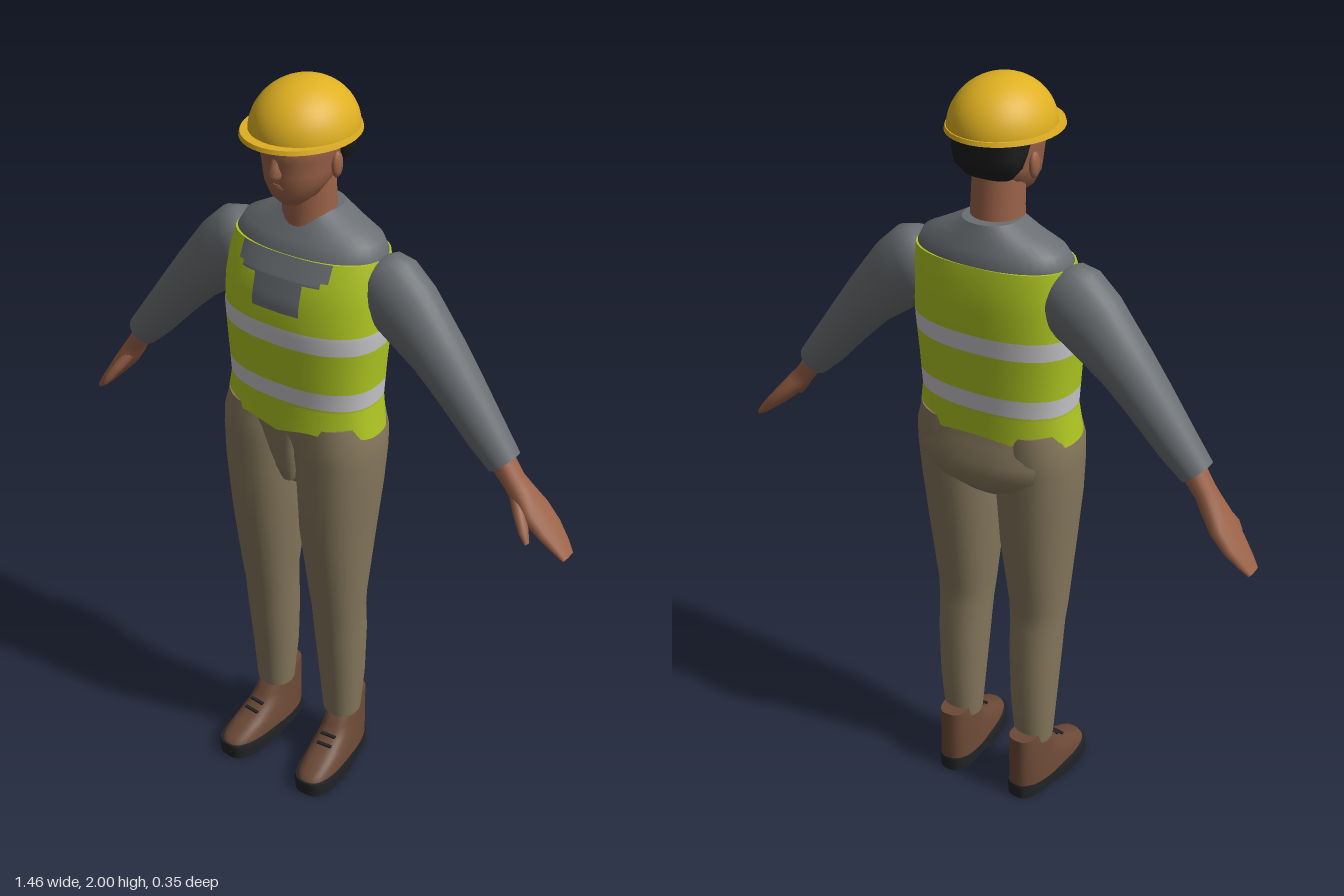
import * as THREE from 'three';

const material = (name, color) => Object.assign(new THREE.MeshStandardMaterial({ color }), { name });
const M = {
  helmet: material('helmet yellow', 0xdfb021),
  vest: material('vest lime', 0xaec522),
  stripe: material('reflective silver', 0xc6c6ca),
  shirt: material('shirt grey', 0x6a6e72),
  skin: material('skin', 0x9a6248),
  hair: material('hair black', 0x1d1d1e),
  trousers: material('trouser khaki', 0x85775c),
  shoe: material('shoe brown', 0x6b4936),
  sole: material('sole black', 0x222326),
};

// Closed skin over sections [x, y, z, radius across, radius in z]; n > 2 makes them squarer.
function loft(sections, n = 2, sides = 28, edit = null) {
  const pos = [], index = [], last = sections.length - 1;
  const power = (v) => Math.sign(v) * Math.abs(v) ** (2 / n);
  sections.forEach(([x, y, z, ra, rb], i) => {
    const a = sections[Math.max(i - 1, 0)], b = sections[Math.min(i + 1, last)];
    const length = Math.hypot(b[0] - a[0], b[1] - a[1]);
    const px = (b[1] - a[1]) / length, py = -(b[0] - a[0]) / length;
    for (let j = 0; j < sides; j++) {
      const t = j / sides * Math.PI * 2;
      const u = power(Math.cos(t)) * ra, w = power(Math.sin(t)) * rb;
      const p = [x + px * u, y + py * u, z + w];
      if (edit) edit(p, i, t);
      pos.push(...p);
    }
  });
  for (let i = 0; i < last; i++) for (let j = 0; j < sides; j++) {
    const a = i * sides + j, b = i * sides + (j + 1) % sides;
    index.push(a, a + sides, b, b, a + sides, b + sides);
  }
  // End caps have their own corners, so their edges stay sharp.
  for (const i of [0, last]) {
    const base = pos.length / 3;
    pos.push(...pos.slice(i * sides * 3, (i + 1) * sides * 3), ...sections[i].slice(0, 3));
    for (let j = 0; j < sides; j++) {
      const a = base + j, b = base + (j + 1) % sides;
      index.push(base + sides, ...(i ? [b, a] : [a, b]));
    }
  }
  const g = new THREE.BufferGeometry();
  g.setAttribute('position', new THREE.Float32BufferAttribute(pos, 3));
  g.setIndex(index);
  g.computeVertexNormals();
  return g;
}

// Upright section from height, half width, front z and back z.
const slice = ([y, rx, front, back], x = 0) => [x, y, (front + back) / 2, rx, (front - back) / 2];

// Torso outline, shared by the vest, its stripes and the neck opening.
const TORSO = [
  [1.12, 0.217, 0.105, -0.15], [1.2, 0.205, 0.1, -0.152], [1.3, 0.21, 0.108, -0.16], [1.4, 0.217, 0.113, -0.168],
  [1.48, 0.215, 0.108, -0.173], [1.54, 0.21, 0.092, -0.172], [1.59, 0.202, 0.066, -0.163],
];
function torsoAt(y) {
  let i = 0;
  while (i < TORSO.length - 2 && TORSO[i + 1][0] < y) i++;
  const a = TORSO[i], b = TORSO[i + 1], k = (y - a[0]) / (b[0] - a[0]);
  return a.map((v, c) => v + (b[c] - v) * k);
}
const TORSO_N = 2.4;
function torsoBand(y0, y1, edit) {
  const ys = [y0, ...TORSO.map((s) => s[0]).filter((y) => y > y0 + 0.005 && y < y1 - 0.005), y1];
  return loft(ys.map((y) => slice(torsoAt(y))), TORSO_N, 48, edit);
}

// Thin patch lying on the chest.
function chestPatch(halfWidth, y0, y1) {
  const g = new THREE.PlaneGeometry(halfWidth * 2, y1 - y0, 16, 6).translate(0, (y0 + y1) / 2, 0);
  const p = g.attributes.position;
  for (let i = 0; i < p.count; i++) {
    const [, , z, rx, rz] = slice(torsoAt(p.getY(i)));
    p.setZ(i, z + rz * (1 - Math.abs(p.getX(i) / rx) ** TORSO_N) ** (1 / TORSO_N) + 0.003);
  }
  g.computeVertexNormals();
  return g;
}

export function createModel() {
  const model = new THREE.Group();
  model.name = 'worker';
  const body = new THREE.Group();
  body.name = 'body';
  body.position.x = -0.013;
  model.add(body);
  const add = (name, geometry, mat, parent = body) => {
    const mesh = new THREE.Mesh(geometry, mat);
    mesh.name = name;
    parent.add(mesh);
    return mesh;
  };

  // Hard hat
  const dome = add('helmetDome', new THREE.SphereGeometry(1, 40, 16, 0, Math.PI * 2, 0, Math.PI / 2), M.helmet);
  dome.scale.set(0.125, 0.12, 0.14);
  dome.position.set(0.005, 1.88, -0.008);
  const brim = add('helmetBrim', new THREE.CylinderGeometry(0.98, 1, 0.01, 40), M.helmet);
  brim.scale.set(0.135, 1, 0.157);
  brim.position.set(0.003, 1.882, 0.002);

  // Head, with ears, nose and hair
  add('head', loft([
    [1.712, 0.026, 0.062, 0], [1.735, 0.054, 0.084, -0.04], [1.77, 0.075, 0.097, -0.085], [1.795, 0.08, 0.1, -0.1],
    [1.83, 0.085, 0.104, -0.11], [1.85, 0.088, 0.112, -0.115], [1.885, 0.088, 0.108, -0.118],
  ].map((s) => slice(s)), 2.1), M.skin);
  add('nose', loft([
    [1.792, 0.012, 0.112, 0.08], [1.803, 0.017, 0.12, 0.08], [1.825, 0.011, 0.114, 0.08], [1.85, 0.008, 0.108, 0.08],
  ].map((s) => slice(s)), 2, 10), M.skin);
  add('mouth', loft([[1.758, 0.015, 0.094, 0.06], [1.767, 0.026, 0.101, 0.06], [1.777, 0.016, 0.101, 0.06]]
    .map((s) => slice(s)), 2, 12), M.skin);
  add('hair', loft([
    [1.782, 0.06, -0.045, -0.105], [1.81, 0.085, -0.038, -0.122], [1.84, 0.092, -0.02, -0.127], [1.885, 0.093, 0.015, -0.127],
  ].map((s) => slice(s)), 2.6), M.hair);
  add('neck', loft([[1.64, 0.067, 0.03, -0.105], [1.7, 0.064, 0.03, -0.103], [1.79, 0.062, 0.035, -0.095]]
    .map((s) => slice(s))), M.skin);

  // Shirt yoke and collar above the vest
  add('shirtYoke', loft([
    [1.56, 0.2, 0.07, -0.16], [1.59, 0.201, 0.065, -0.162], [1.62, 0.185, 0.048, -0.153],
    [1.65, 0.125, 0.027, -0.141], [1.68, 0.07, 0.012, -0.13],
  ].map((s) => slice(s)), 2.2, 40), M.shirt);

  // Vest bands, reflective stripes and stepped neck opening
  const hem = (p, i, t) => {
    if (i === 0 && Math.sin(t) > 0) p[1] += 0.018 * Math.abs(Math.sin(t * 4)) * Math.sin(t);
  };
  add('vestHem', torsoBand(1.12, 1.208, hem), M.vest);
  add('lowerStripe', torsoBand(1.208, 1.256), M.stripe);
  add('vestMiddle', torsoBand(1.256, 1.367), M.vest);
  add('upperStripe', torsoBand(1.367, 1.415), M.stripe);
  add('vestChest', torsoBand(1.415, 1.588), M.vest);
  [[0.127, 1.548, 1.589], [0.11, 1.535, 1.549], [0.067, 1.457, 1.536]].forEach(([w, y0, y1]) =>
    add('neckOpening', chestPatch(w, y0, y1), M.shirt));

  // Trouser seat
  add('trouserSeat', loft([
    [0.93, 0.035, 0.04, -0.07], [0.955, 0.1, 0.055, -0.115], [0.99, 0.175, 0.068, -0.15], [1.03, 0.205, 0.078, -0.167],
    [1.07, 0.212, 0.085, -0.169], [1.11, 0.21, 0.092, -0.155], [1.17, 0.198, 0.09, -0.145],
  ].map((s) => slice(s)), 2.3, 40), M.trousers);
  add('fly', loft([[0.95, 0.018, 0.07, 0], [0.99, 0.033, 0.084, 0], [1.06, 0.042, 0.094, 0], [1.15, 0.045, 0.092, 0]]
    .map((s) => slice(s)), 3), M.trousers);

  for (const side of [1, -1]) {
    const label = side > 0 ? 'left' : 'right';
    const mirror = ([x, ...rest]) => [x * side, ...rest];

    const ear = add(label + 'Ear', new THREE.SphereGeometry(1, 12, 8), M.skin);
    ear.scale.set(0.011, 0.032, 0.018);
    ear.position.set(side * 0.087, 1.805, -0.02);

    // Leg
    add(label + 'TrouserLeg', loft([
      [0.113, 0.165, -0.036, 0.05, 0.049], [0.113, 0.18, -0.036, 0.052, 0.051], [0.112, 0.3, -0.036, 0.061, 0.062],
      [0.111, 0.45, -0.027, 0.068, 0.072], [0.11, 0.54, -0.018, 0.072, 0.07], [0.11, 0.6, -0.012, 0.077, 0.074],
      [0.108, 0.8, -0.013, 0.094, 0.106], [0.111, 0.95, -0.016, 0.105, 0.117], [0.114, 1.05, -0.02, 0.107, 0.121],
      [0.113, 1.1, -0.022, 0.106, 0.122], [0.108, 1.15, -0.024, 0.098, 0.114],
    ].map(mirror), 2.2), M.trousers);

    // Shoe, toes turned out a little
    const shoe = new THREE.Group();
    shoe.name = label + 'Shoe';
    shoe.position.x = side * 0.119;
    shoe.rotation.y = side * 0.09;
    body.add(shoe);
    const taper = (p) => { if (p[2] < 0.02) p[0] *= 0.84; };
    add('sole', loft([[0, 0.06, 0.176, -0.128], [0.03, 0.062, 0.178, -0.13], [0.042, 0.06, 0.176, -0.128]]
      .map((s) => slice(s)), 3, 36, taper), M.sole);
    add('upper', loft([
      [0.04, 0.056, 0.172, -0.125], [0.058, 0.054, 0.16, -0.126], [0.08, 0.051, 0.112, -0.126], [0.105, 0.047, 0.058, -0.126],
      [0.135, 0.044, 0.026, -0.126], [0.165, 0.042, 0.01, -0.126], [0.197, 0.038, -0.03, -0.126],
    ].map((s) => slice(s)), 2.6, 36), M.shoe);
    [[0.101, 0.07], [0.118, 0.047]].forEach(([y, z]) => {
      const lace = add('lace', new THREE.BoxGeometry(0.044, 0.005, 0.009), M.sole, shoe);
      lace.position.set(0, y, z);
    });
    shoe.add(...body.children.filter((c) => c.name === 'sole' || c.name === 'upper'));

    // Sleeve
    add(label + 'Sleeve', loft([
      [0.165, 1.535, -0.055, 0.06, 0.055], [0.185, 1.525, -0.055, 0.088, 0.07], [0.215, 1.51, -0.055, 0.1, 0.075],
      [0.265, 1.472, -0.055, 0.092, 0.074], [0.36, 1.378, -0.055, 0.071, 0.066], [0.42, 1.308, -0.054, 0.062, 0.06],
      [0.5, 1.21, -0.053, 0.053, 0.049], [0.552, 1.152, -0.052, 0.044, 0.042],
    ].map(mirror)), M.shirt);

    // Hand and thumb; the right wrist bends further down
    const bend = ([x, y, ...rest]) => {
      const k = side < 0 ? Math.max(0, (x - 0.55) / 0.19) : 0;
      return mirror([x - 0.026 * k, y - 0.02 * k, ...rest]);
    };
    add(label + 'Hand', loft([
      [0.53, 1.172, -0.053, 0.03, 0.034], [0.58, 1.11, -0.053, 0.025, 0.031], [0.602, 1.084, -0.055, 0.026, 0.036],
      [0.64, 1.042, -0.058, 0.024, 0.049], [0.68, 1.003, -0.06, 0.019, 0.046], [0.715, 0.97, -0.058, 0.014, 0.034],
      [0.738, 0.948, -0.055, 0.008, 0.024],
    ].map(bend), 2.4, 14), M.skin);
    add(label + 'Thumb', loft([
      [0.59, 1.085, -0.04, 0.014, 0.016], [0.62, 1.05, -0.016, 0.015, 0.018], [0.645, 1.018, 0.004, 0.012, 0.015],
      [0.66, 0.995, 0.012, 0.006, 0.008],
    ].map(bend), 2, 10), M.skin);
  }
  return model;
}
